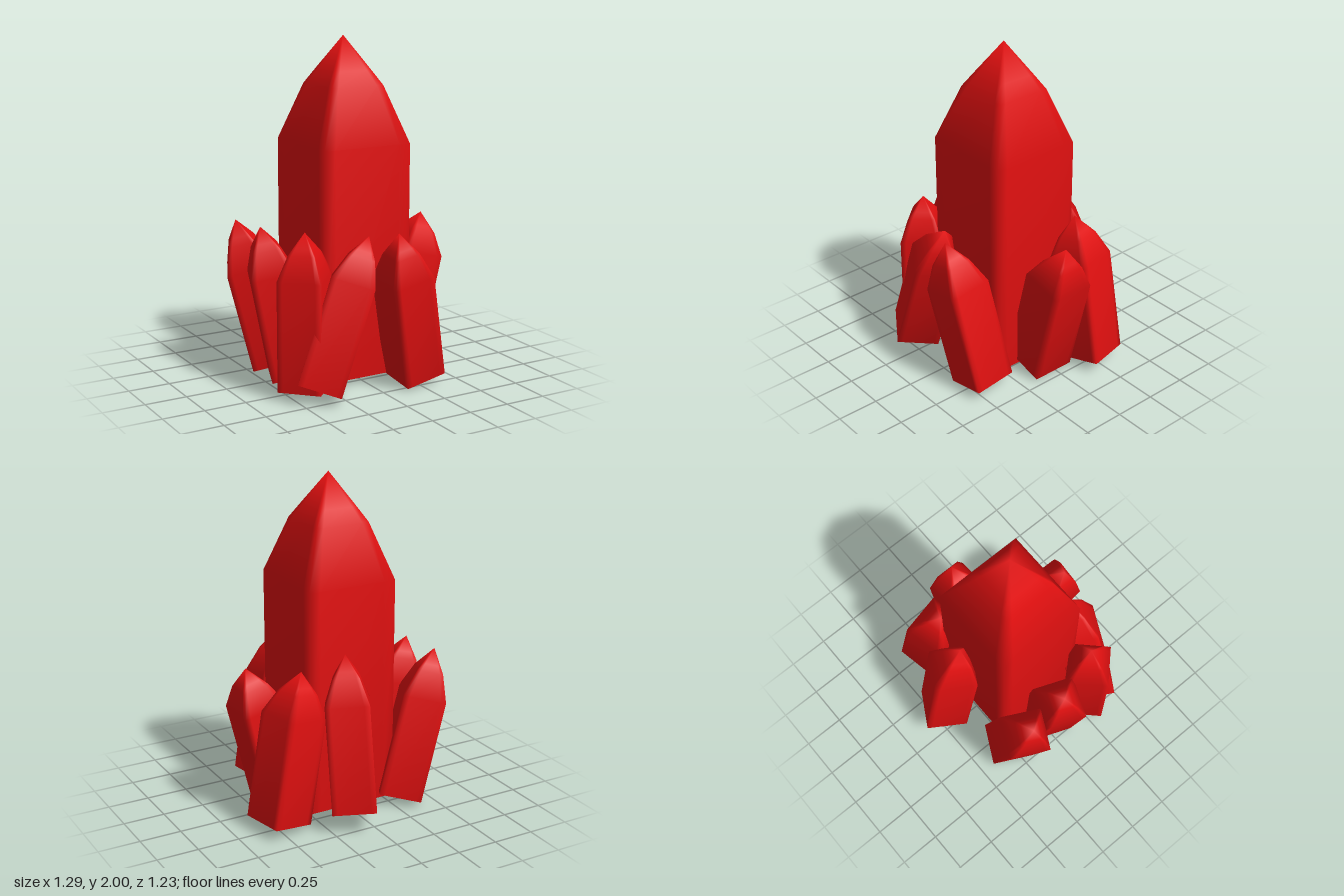
import * as THREE from 'three';

// Square cross-section with an extra point beside each corner, counterclockwise from above
function squareRing() {
  const ring = [];
  for (let side = 0; side < 4; side++) {
    for (const t of [-1, -0.75, 0.75]) {
      let x = 1, z = -t;
      for (let k = 0; k < side; k++) [x, z] = [z, -x];
      ring.push([x, z]);
    }
  }
  return ring;
}

// Crystal from base centre, shoulder centre and tip; half is half its width, yaw in degrees
function crystalGeometry(base, shoulder, tip, half, yaw) {
  const B = new THREE.Vector3(...base);
  const S = new THREE.Vector3(...shoulder);
  const T = new THREE.Vector3(...tip);
  const up = new THREE.Vector3(0, 1, 0);
  const turn = new THREE.Quaternion()
    .setFromUnitVectors(up, S.clone().sub(B).normalize())
    .multiply(new THREE.Quaternion().setFromAxisAngle(up, THREE.MathUtils.degToRad(yaw)));

  const levels = [
    [B, 1],
    [S, 1],
    [S.clone().lerp(T, 0.54), 0.6],
    [S.clone().lerp(T, 0.68), 0.42],
  ];
  const ring = squareRing();
  const n = ring.length;
  const positions = [];
  const index = [];
  for (const [centre, scale] of levels) {
    for (const [x, z] of ring) {
      const p = new THREE.Vector3(x, 0, z).multiplyScalar(half * scale);
      positions.push(...p.applyQuaternion(turn).add(centre).toArray());
    }
  }
  const bottom = levels.length * n;
  const apex = bottom + 1;
  positions.push(...B.toArray(), ...T.toArray());

  for (let i = 0; i < n; i++) {
    const j = (i + 1) % n;
    for (let l = 0; l < levels.length - 1; l++) {
      const a = l * n, b = a + n;
      index.push(a + i, a + j, b + j, a + i, b + j, b + i);
    }
    const last = (levels.length - 1) * n;
    index.push(last + i, last + j, apex);
    index.push(j, i, bottom);
  }

  const geometry = new THREE.BufferGeometry();
  geometry.setAttribute('position', new THREE.Float32BufferAttribute(positions, 3));
  geometry.setIndex(index);
  geometry.computeVertexNormals();
  return geometry;
}

export function createModel() {
  const group = new THREE.Group();
  group.name = 'crystalCluster';
  const red = new THREE.MeshStandardMaterial({ color: 0xe01010 });
  red.name = 'crystalRed';

  // name, base centre, shoulder centre, tip, half width, yaw
  const crystals = [
    ['mainCrystal', [0.005, 0.04, 0.03], [0.005, 1.39, 0.03], [0.005, 2, 0.03], 0.28, 0],
    ['leftCrystal', [0.336, 0.05, 0.03], [0.49, 0.68, 0.03], [0.55, 0.91, 0.03], 0.132, 0],
    ['backLeftCrystal', [0.49, 0.058, -0.25], [0.38, 0.68, -0.235], [0.33, 0.935, -0.235], 0.131, 13],
    ['backCrystal', [0.097, 0.12, -0.44], [0.09, 0.74, -0.34], [0.075, 1.01, -0.287], 0.128, -30],
    ['backRightCrystal', [-0.32, 0.045, -0.25], [-0.48, 0.65, -0.25], [-0.555, 0.93, -0.255], 0.127, -26],
    ['rightCrystal', [-0.35, 0.055, 0.04], [-0.47, 0.67, 0.027], [-0.525, 0.935, 0.005], 0.127, -21],
    ['frontRightCrystal', [-0.405, 0.05, 0.315], [-0.405, 0.69, 0.315], [-0.405, 0.95, 0.315], 0.126, 45],
    ['frontCrystal', [-0.37, 0.07, 0.425], [-0.157, 0.66, 0.425], [-0.055, 0.91, 0.425], 0.127, -32],
    ['frontLeftCrystal', [0.265, 0.05, 0.415], [0.135, 0.66, 0.485], [0.08, 0.93, 0.525], 0.128, 0],
  ];
  for (const [name, ...shape] of crystals) {
    const mesh = new THREE.Mesh(crystalGeometry(...shape), red);
    mesh.name = name;
    group.add(mesh);
  }
  return group;
}
